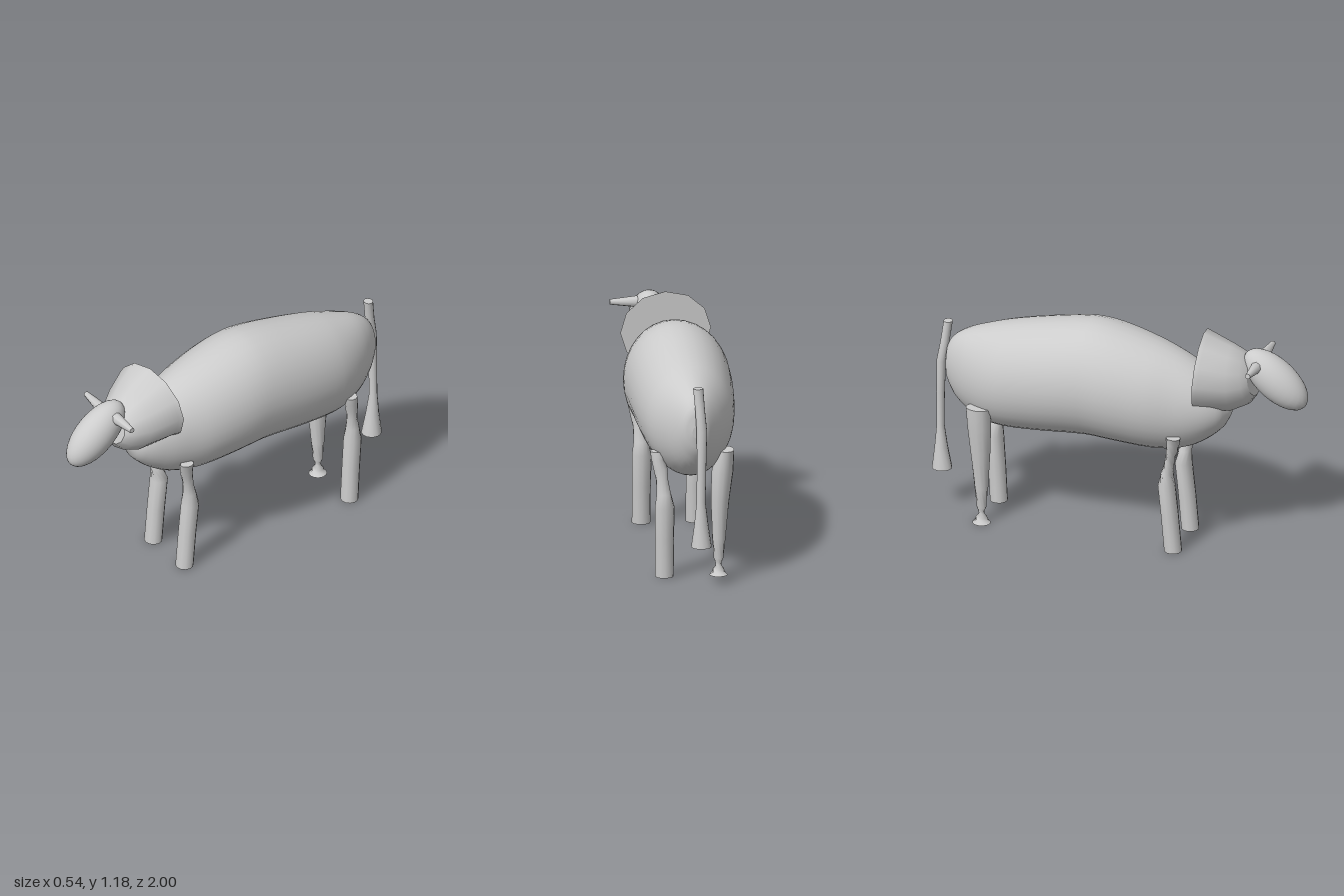
import * as THREE from 'three';

const hide = new THREE.MeshStandardMaterial({ color: 0xcccccc });
hide.name = 'plain grey';

// Skin closed rings: each ring is { c: centre, u, v: half axes, a: twist }, with u x v along the path
function loft(rings, sides) {
  const pos = [], idx = [];
  const addRing = (r) => {
    for (let j = 0; j < sides; j++) {
      const t = (j / sides) * Math.PI * 2 + (r.a || 0);
      for (let k = 0; k < 3; k++) pos.push(r.c[k] + r.u[k] * Math.cos(t) + r.v[k] * Math.sin(t));
    }
  };
  rings.forEach(addRing);
  for (let i = 0; i < rings.length - 1; i++) {
    for (let j = 0; j < sides; j++) {
      const a = i * sides + j, b = i * sides + ((j + 1) % sides);
      idx.push(a, b, a + sides, b, b + sides, a + sides);
    }
  }
  // flat end caps with their own vertices, so their edges stay sharp
  [rings[0], rings[rings.length - 1]].forEach((r, end) => {
    const s = pos.length / 3;
    addRing(r);
    pos.push(...r.c);
    for (let j = 0; j < sides; j++) {
      const a = s + j, b = s + ((j + 1) % sides);
      if (end) idx.push(a, b, s + sides);
      else idx.push(b, a, s + sides);
    }
  });
  const g = new THREE.BufferGeometry();
  g.setAttribute('position', new THREE.Float32BufferAttribute(pos, 3));
  g.setIndex(idx);
  g.computeVertexNormals();
  return g;
}

// Upright limb; rows are [y, x, z, half width x, half width z, twist], from the bottom up
function limb(rows, sides = 12) {
  return loft(rows.map(([y, x, z, rx, rz, a]) => ({ c: [x, y, z], u: [rx, 0, 0], v: [0, 0, -rz], a })), sides);
}

function bodyGeometry() {
  // z, bottom y, top y, half width, from rump to chest
  const rows = [
    [-0.928, 0.79, 0.85, 0.02], [-0.915, 0.715, 0.93, 0.06], [-0.87, 0.635, 0.985, 0.1],
    [-0.8, 0.575, 1.025, 0.148], [-0.7, 0.53, 1.06, 0.198], [-0.6, 0.517, 1.09, 0.23],
    [-0.4, 0.525, 1.135, 0.256], [-0.15, 0.543, 1.175, 0.268], [0, 0.533, 1.16, 0.268],
    [0.2, 0.52, 1.105, 0.242], [0.32, 0.53, 1.06, 0.208], [0.42, 0.565, 1.01, 0.178],
    [0.51, 0.625, 0.95, 0.14], [0.57, 0.685, 0.88, 0.095], [0.6, 0.745, 0.81, 0.035],
  ];
  const mid = new THREE.CatmullRomCurve3(rows.map(([z, b, t]) => new THREE.Vector3(0, (b + t) / 2, z)));
  const size = new THREE.CatmullRomCurve3(rows.map(([z, b, t, w]) => new THREE.Vector3(w, (t - b) / 2, z)));
  const rings = [];
  for (let i = 0; i <= 42; i++) {
    const c = mid.getPoint(i / 42), s = size.getPoint(i / 42);
    rings.push({ c: c.toArray(), u: [s.x, 0, 0], v: [0, s.y, 0] });
  }
  return loft(rings, 32);
}

export function createModel() {
  const model = new THREE.Group();
  model.name = 'animal';
  const add = (name, geometry) => {
    const m = new THREE.Mesh(geometry, hide);
    m.name = name;
    model.add(m);
    return m;
  };

  add('body', bodyGeometry());

  // flared neck, turned a little, with a flat rear face
  add('neck', loft([
    { c: [0, 0.985, 0.437], u: [0.236, 0, -0.03], v: [0, 0.2, 0.015] },
    { c: [0, 0.982, 0.462], u: [0.225, 0, -0.03], v: [0, 0.196, 0.015] },
    { c: [0.02, 0.953, 0.6], u: [0.176, 0, -0.02], v: [0, 0.173, -0.01] },
    { c: [0.035, 0.955, 0.675], u: [0.14, 0, -0.01], v: [0, 0.135, -0.025] },
    { c: [0.04, 0.955, 0.71], u: [0.1, 0, 0], v: [0, 0.09, -0.02] },
  ], 12));

  // egg-shaped head sloping down to the muzzle
  const head = add('head', new THREE.SphereGeometry(1, 28, 20));
  head.scale.set(0.097, 0.105, 0.205);
  head.rotation.x = THREE.MathUtils.degToRad(40);
  head.position.set(0.048, 0.961, 0.826);

  // tapered ears, each with its own small tilt
  for (const [name, side, baseX, tipX, baseY] of [['leftEar', 1, 0.11, 0.252, 1.056], ['rightEar', -1, -0.01, -0.156, 1.044]]) {
    const length = Math.abs(tipX - baseX);
    const ear = add(name, new THREE.CylinderGeometry(0.014, 0.031, length, 8));
    ear.position.set((baseX + tipX) / 2, (baseY + 1.058) / 2, 0.742);
    ear.rotation.z = -side * (Math.PI / 2 - Math.atan2(1.058 - baseY, length));
  }

  // three legs pinched and twisted above the knee
  for (const [name, side, z] of [['leftFrontLeg', 1, 0.335], ['rightFrontLeg', -1, 0.335], ['leftRearLeg', 1, -0.695]]) {
    const front = z > 0, lean = front ? -0.035 : -0.02;
    const topX = front ? 0.185 : 0.165, topR = front ? 0.03 : 0.045;
    add(name, limb([
      [0, side * 0.138, z, 0.048, 0.046, 0],
      [0.2, side * 0.138, z + lean * 0.5, 0.048, 0.046, 0],
      [0.37, side * 0.138, z + lean, 0.051, 0.045, 0],
      [0.44, side * 0.143, z + lean * 0.8, 0.038, 0.034, side * 0.7],
      [0.51, side * 0.15, z + lean * 0.4, 0.031, 0.026, side * 1.4],
      [0.57, side * 0.158, z, 0.036, 0.03, side * 2.1],
      [0.62, side * 0.17, z + 0.01, 0.034, 0.034, side * 2.6],
      [0.66, side * topX, z + 0.017, topR, 0.037, side * 2.9],
    ]));
  }

  // the fourth leg is pinched at the ankle instead
  add('rightRearLeg', limb([
    [0, -0.14, -0.695, 0.047, 0.048, 0],
    [0.03, -0.14, -0.695, 0.03, 0.03, -0.9],
    [0.055, -0.14, -0.695, 0.014, 0.014, -1.6],
    [0.09, -0.14, -0.695, 0.026, 0.026, -2.4],
    [0.2, -0.142, -0.695, 0.035, 0.035, -2.9],
    [0.4, -0.148, -0.698, 0.048, 0.052, -3.1],
    [0.55, -0.16, -0.7, 0.056, 0.063, -3.14],
    [0.665, -0.175, -0.702, 0.045, 0.066, -3.14],
  ]));

  // hanging tail with a flared tuft
  add('tail', limb([
    [0.22, -0.023, -0.947, 0.053, 0.053, 0],
    [0.34, -0.022, -0.952, 0.036, 0.034, 0],
    [0.46, -0.02, -0.956, 0.023, 0.02, 0],
    [0.65, -0.023, -0.955, 0.024, 0.022, 0],
    [0.83, -0.025, -0.95, 0.027, 0.025, 0],
    [0.94, -0.018, -0.932, 0.025, 0.024, 0],
    [1.05, -0.01, -0.918, 0.026, 0.024, 0],
  ]));

  return model;
}
